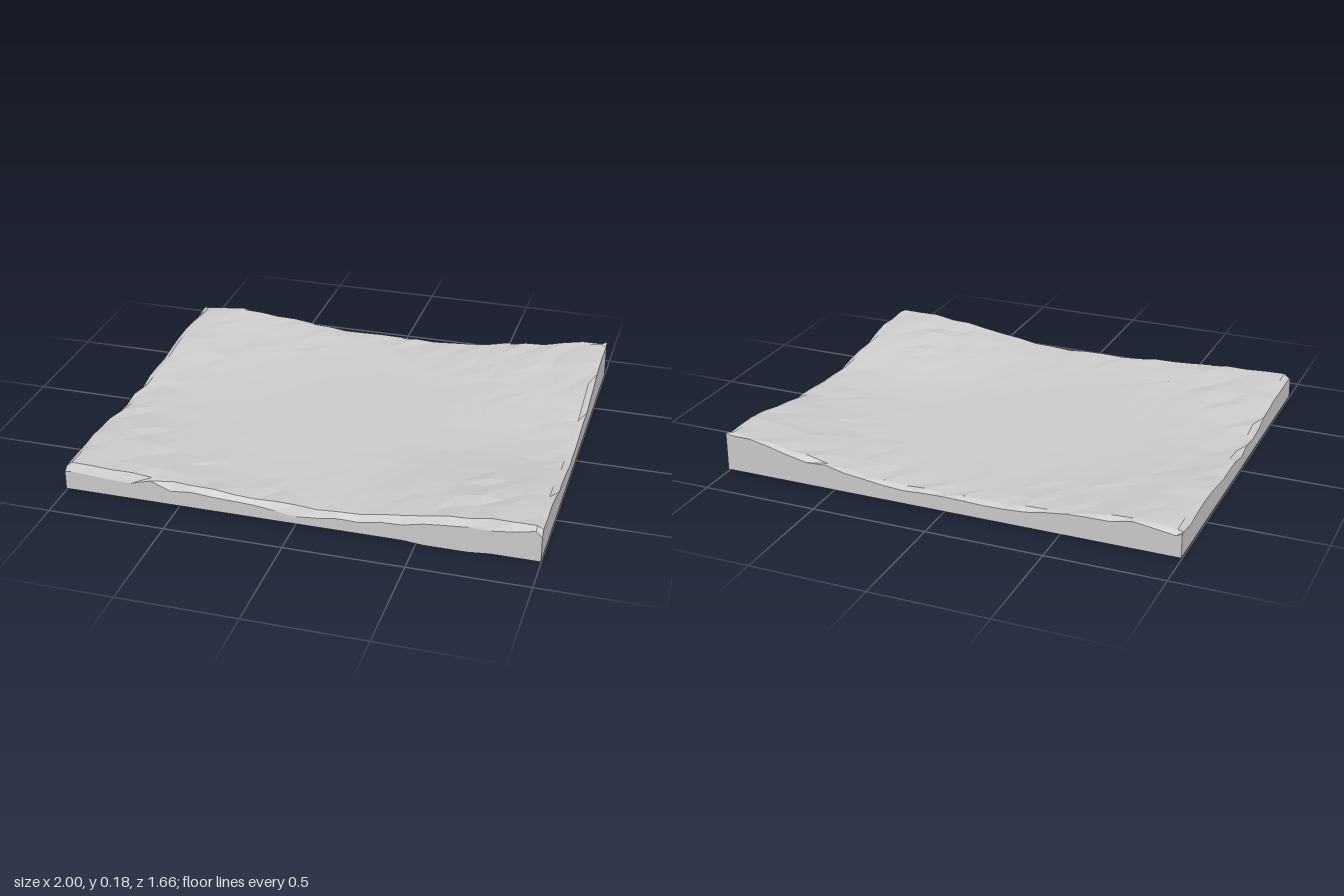
import * as THREE from 'three';

const HALF_X = 1, HALF_Z = 0.83, NX = 24, NZ = 20;

// Ground heights in hundredths, rows from back to front, columns from -x to +x
const HEIGHTS = [
  [12, 12.5, 10.5, 8.5, 8, 8, 11.5, 15, 18.5],
  [12, 11.5, 9, 8, 7.5, 8, 9.5, 13, 17],
  [11.5, 10, 8, 7.2, 7, 7.2, 8, 10.5, 14],
  [10, 8.5, 7.3, 7, 7, 7, 7.5, 8.5, 10.5],
  [8.5, 7.5, 7, 7, 7, 7, 7, 7.5, 8.5],
  [9, 8, 7, 7, 7, 7, 7.5, 8.5, 9],
  [10.5, 9.5, 7.5, 7, 7, 7.5, 10, 12, 11.5],
  [12, 11, 8.5, 7.5, 7.5, 8, 11.5, 14, 14.5],
  [12, 12.5, 11, 9, 8, 8.5, 12, 15.5, 16],
];

// Bilinear lookup, u and v in -1..1
function groundHeight(u, v) {
  const a = (u + 1) * 4, b = (v + 1) * 4;
  const i = Math.min(7, Math.floor(a)), j = Math.min(7, Math.floor(b));
  const lerp = THREE.MathUtils.lerp;
  return 0.01 * lerp(
    lerp(HEIGHTS[j][i], HEIGHTS[j][i + 1], a - i),
    lerp(HEIGHTS[j + 1][i], HEIGHTS[j + 1][i + 1], a - i), b - j);
}

// Repeatable noise in -1..1 from a grid position
function noise(u, v, seed) {
  const s = Math.sin(u * 127.1 + v * 311.7 + seed * 74.7) * 4375.85;
  return (s - Math.floor(s)) * 2 - 1;
}

// Squeezes the outermost grid cells into a narrow bevel
const spread = (t, n) => Math.abs(t) > 0.999 ? Math.sign(t) : t * 0.975 / (1 - 2 / n);

export function createModel() {
  const group = new THREE.Group();
  const box = new THREE.BoxGeometry(2, 2, 2, NX, 1, NZ);
  const p = box.attributes.position;

  for (let k = 0; k < p.count; k++) {
    const gu = Math.round(p.getX(k) * NX) / NX, gv = Math.round(p.getZ(k) * NZ) / NZ;
    let u = spread(gu, NX), v = spread(gv, NZ), y;
    const edgeU = Math.abs(u) === 1, edgeV = Math.abs(v) === 1;

    if (p.getY(k) > 0) {
      // Rugged top: rougher towards the rim, with a worn outer edge
      const rough = THREE.MathUtils.smoothstep(Math.hypot(u, v), 0.5, 1.1);
      const inner = Math.abs(u) < 0.97 && Math.abs(v) < 0.97;
      if (inner) {
        u += noise(gu, gv, 1) * 0.025;
        v += noise(gu, gv, 2) * 0.03;
      }
      y = groundHeight(u, v) + noise(gu, gv, 3) * 0.006 * rough;
      if (v === 1) y -= 0.028 + 0.012 * noise(gu, gv, 4);
      else if (edgeU || edgeV) y -= 0.012 + 0.008 * noise(gu, gv, 4);
    } else {
      // Nearly flat underside with one conical hollow
      y = edgeU || edgeV ? 0.008 : 0.004;
      const r = Math.hypot(u * HALF_X - 0.61, v * HALF_Z - 0.53);
      y += 0.085 * Math.max(0, 1 - r / 0.17);
      if (r > 0.17 && r < 0.32) y = 0;
    }
    p.setXYZ(k, u * HALF_X, y, v * HALF_Z);
  }

  // Faceted stone-like surface
  const geometry = box.toNonIndexed();
  geometry.computeVertexNormals();
  const material = new THREE.MeshStandardMaterial({ color: 0xcccccc, flatShading: true });
  const slab = new THREE.Mesh(geometry, material);
  slab.name = 'terrainSlab';
  group.add(slab);
  return group;
}
